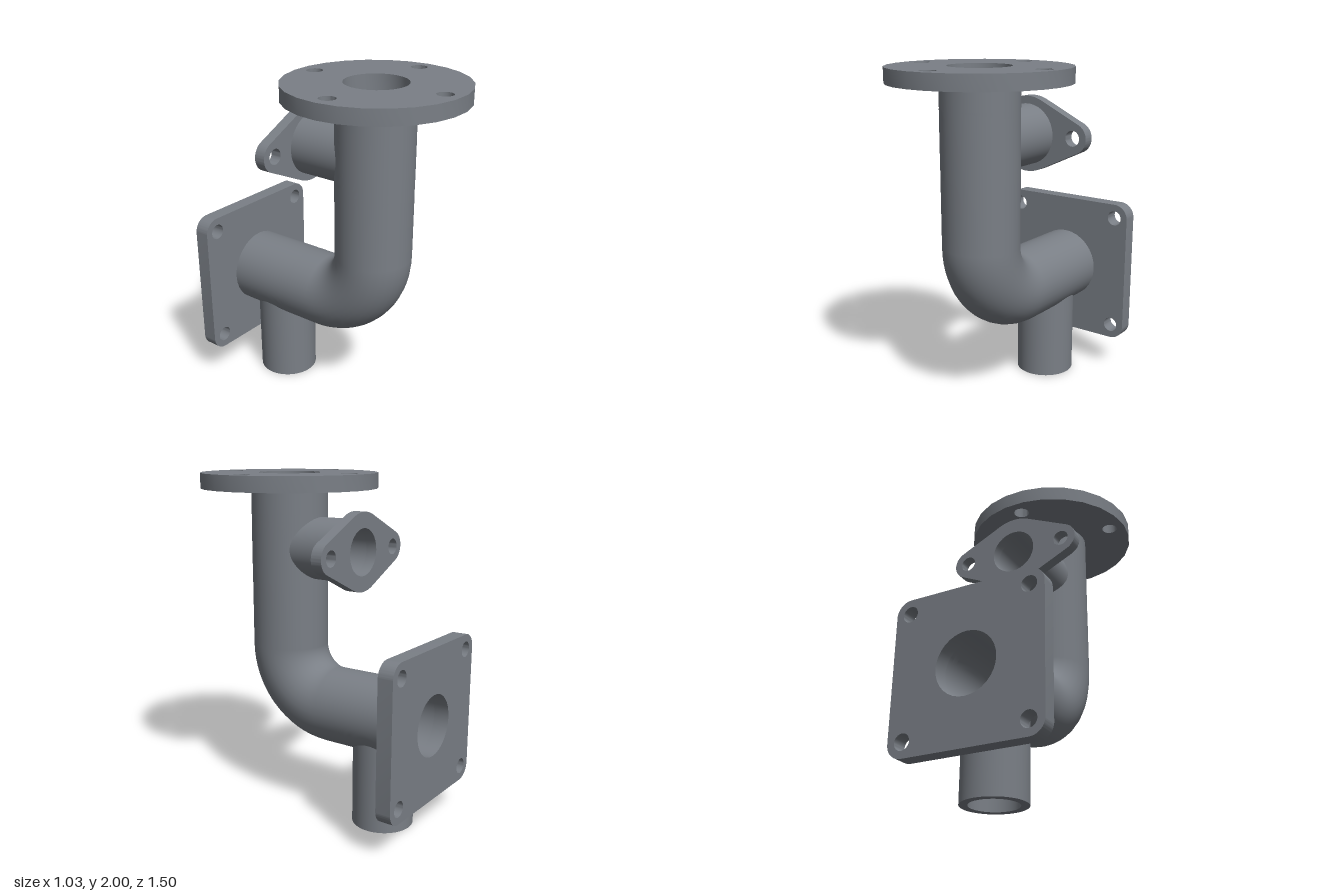
import * as THREE from 'three';
import { toCreasedNormals } from 'three/addons/utils/BufferGeometryUtils.js';
import { ParametricGeometry } from 'three/addons/geometries/ParametricGeometry.js';

const material = new THREE.MeshStandardMaterial({ color: 0x7a7f86, side: THREE.DoubleSide });

const OUTER = 0.224, BORE = 0.179;                 // main pipe radii
const BRANCH_OUTER = 0.179, BRANCH_BORE = 0.134;   // branch pipe radii
const AXIS_Z = 0.238, AXIS_Y = 0.654;              // vertical and horizontal pipe axes
const BEND = 0.336;                                // bend radius at the axis
const TEE = 0.2;                                   // half length of a tee section
const UPPER_Y = 1.575, LOWER_Z = -0.435;           // branch positions
const X = new THREE.Vector3(1, 0, 0), Y = new THREE.Vector3(0, 1, 0), Z = new THREE.Vector3(0, 0, 1);

// outer surface and bore, each with the matching branch radius
const walls = [['Outer', OUTER, BRANCH_OUTER], ['Bore', BORE, BRANCH_BORE]];

function add(parent, name, geometry) {
  const mesh = new THREE.Mesh(geometry, material);
  mesh.name = name;
  parent.add(mesh);
  return mesh;
}

function orientedGroup(parent, name, basis, position) {
  const group = new THREE.Group();
  group.name = name;
  group.quaternion.setFromRotationMatrix(new THREE.Matrix4().makeBasis(...basis));
  group.position.set(...position);
  parent.add(group);
  return group;
}

// straight pipe along y
function straight(parent, name, y0, y1) {
  for (const [wall, R] of walls) {
    const g = new THREE.CylinderGeometry(R, R, y1 - y0, 32, 1, true);
    add(parent, name + wall, g.translate(0, (y0 + y1) / 2, 0));
  }
}

// one coordinate of a walk around the unit square
function square(w) {
  const f = ((w % 1) + 1) % 1;
  return THREE.MathUtils.clamp(Math.abs(f - 0.5) * 8 - 2, -1, 1);
}

// main pipe along x with a branch leaving along +y, both open where they join
function tee(parent, name, basis, position, reach) {
  const group = orientedGroup(parent, name, basis, position);
  for (const [wall, R, r] of walls) {
    add(group, 'mainPipe' + wall, new ParametricGeometry((u, v, p) => {
      const phi = u * 2 * Math.PI;
      const theta = Math.asin(r * Math.sin(phi) / R) * (1 - v) + Math.PI * square(u - 0.25) * v;
      const along = r * Math.cos(phi) * (1 - v) + TEE * square(u) * v;
      p.set(along, R * Math.cos(theta), R * Math.sin(theta));
    }, 128, 16));
    add(group, 'branch' + wall, new ParametricGeometry((u, v, p) => {
      const phi = u * 2 * Math.PI, s = r * Math.sin(phi);
      p.set(r * Math.cos(phi), THREE.MathUtils.lerp(reach, Math.sqrt(R * R - s * s), v), s);
    }, 128, 1));
  }
  return group;
}

// plate extruded along +z with a centre bore and bolt holes
function flange(parent, name, shape, bore, boltRadius, bolts, depth) {
  for (const [x, y, r] of [[0, 0, bore], ...bolts.map(([bx, by]) => [bx, by, boltRadius])]) {
    shape.holes.push(new THREE.Path().absarc(x, y, r, 0, Math.PI * 2, true));
  }
  const g = new THREE.ExtrudeGeometry(shape, { depth, bevelEnabled: false, curveSegments: 16 });
  return add(parent, name, toCreasedNormals(g, 0.6));
}

function roundFlangeShape() {
  return new THREE.Shape(Array.from({ length: 26 }, (_, i) => {
    const a = i / 26 * Math.PI * 2;
    return new THREE.Vector2(0.515 * Math.cos(a), 0.515 * Math.sin(a));
  }));
}

function squareFlangeShape(h, r) {
  const shape = new THREE.Shape(), c = h - r;
  [[1, 1], [-1, 1], [-1, -1], [1, -1]].forEach(([sx, sy], i) =>
    shape.absarc(sx * c, sy * c, r, i * Math.PI / 2, (i + 1) * Math.PI / 2, false));
  return shape.closePath();
}

// large centre circle and two small ears joined by tangents
function ovalFlangeShape(R, r, d) {
  const a = Math.acos((R - r) / d), pi = Math.PI;
  const shape = new THREE.Shape();
  shape.absarc(d, 0, r, -a, a, false);
  shape.absarc(0, 0, R, a, pi - a, false);
  shape.absarc(-d, 0, r, pi - a, pi + a, false);
  shape.absarc(0, 0, R, pi + a, 2 * pi - a, false);
  return shape.closePath();
}

export function createModel() {
  const model = new THREE.Group();
  model.name = 'pipeFitting';
  const down = [Z, Y.clone().negate(), X];
  const back = [Y, Z.clone().negate(), X.clone().negate()];

  // vertical pipe
  const vertical = orientedGroup(model, 'verticalPipe', [X, Y, Z], [0, 0, AXIS_Z]);
  straight(vertical, 'lower', AXIS_Y + BEND, UPPER_Y - TEE);
  straight(vertical, 'upper', UPPER_Y + TEE, 1.912);

  // horizontal pipe, local y running forward
  const horizontal = orientedGroup(model, 'horizontalPipe', [X, Z, Y.clone().negate()], [0, AXIS_Y, 0]);
  straight(horizontal, 'front', LOWER_Z + TEE, AXIS_Z - BEND);
  straight(horizontal, 'rear', -0.661, LOWER_Z - TEE);

  // quarter bend
  const bend = orientedGroup(model, 'bend', down, [0, AXIS_Y + BEND, AXIS_Z - BEND]);
  for (const [wall, R] of walls) {
    add(bend, 'bend' + wall, new THREE.TorusGeometry(BEND, R, 32, 16, Math.PI / 2));
  }

  // branches
  tee(model, 'upperBranch', back, [0, UPPER_Y, AXIS_Z], AXIS_Z + 0.212);
  const lower = tee(model, 'lowerBranch', down, [0, AXIS_Y, LOWER_Z], AXIS_Y);
  const rim = add(lower, 'branchRim', new THREE.RingGeometry(BRANCH_BORE, BRANCH_OUTER, 64));
  rim.rotation.x = -Math.PI / 2;
  rim.position.y = AXIS_Y;

  // round top flange
  const b = 0.417;
  const top = flange(model, 'topFlange', roundFlangeShape(), BORE, 0.046,
    [[b, 0], [-b, 0], [0, b], [0, -b]], 0.088);
  top.rotation.x = -Math.PI / 2;
  top.position.set(0, 1.912, AXIS_Z);

  // square rear flange
  const q = 0.36;
  const rear = flange(model, 'rearFlange', squareFlangeShape(0.448, 0.088), BORE, 0.046,
    [[q, q], [-q, q], [-q, -q], [q, -q]], 0.09);
  rear.position.set(0, AXIS_Y, -0.751);

  // two-eared branch flange
  const oval = flange(model, 'branchFlange', ovalFlangeShape(0.224, 0.09, 0.313), BRANCH_BORE, 0.046,
    [[0.313, 0], [-0.313, 0]], 0.066);
  oval.position.set(0, UPPER_Y, -0.278);

  return model;
}
